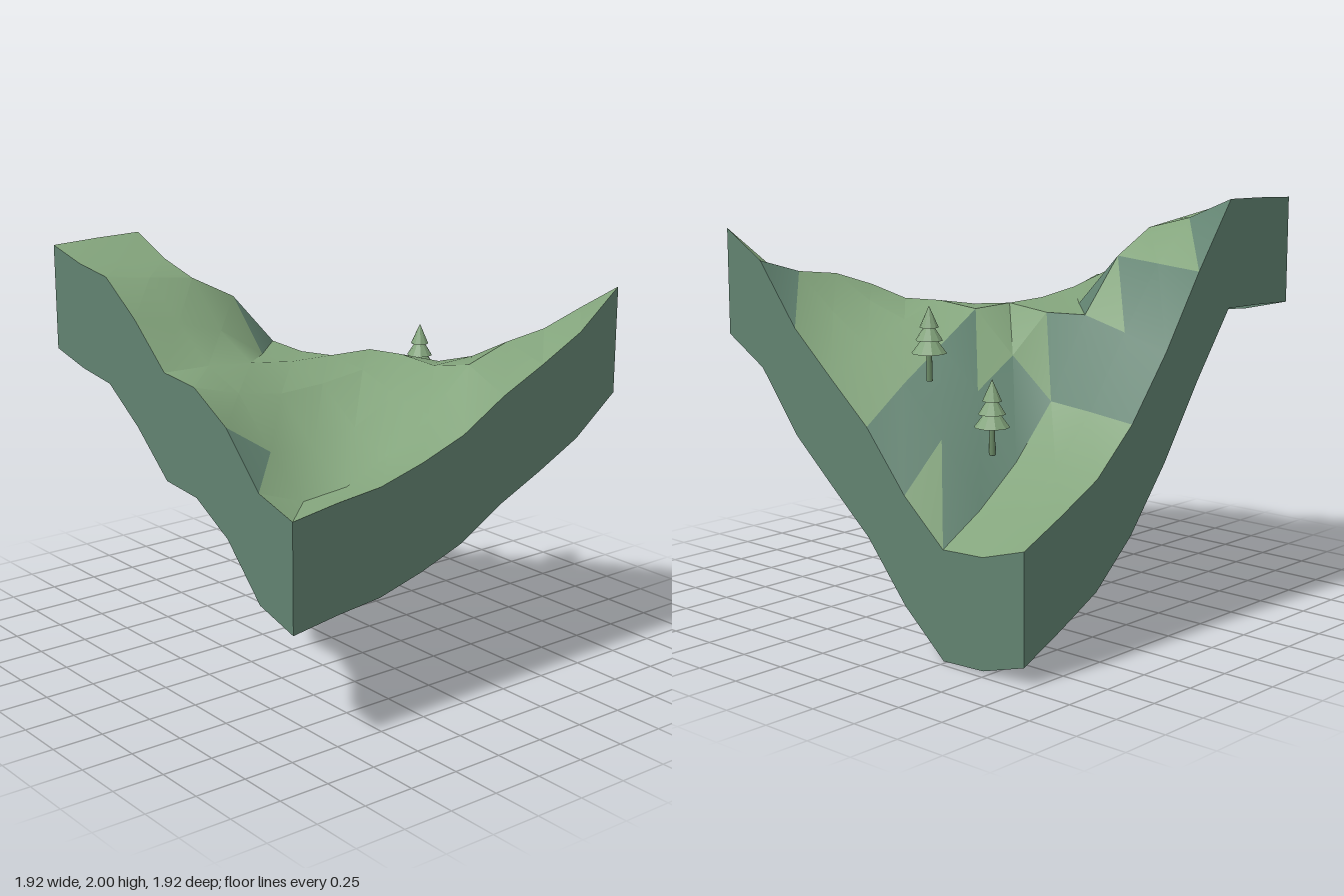
import * as THREE from 'three';
import { toCreasedNormals } from 'three/addons/utils/BufferGeometryUtils.js';

const STEP = 0.24, N = 8, HALF = 0.96, DEPTH = 0.513;

// Ground heights: one row per z (back to front), one value per x (-x to +x)
const HEIGHTS = [
  [1.985, 1.995, 2.0, 1.68, 1.33, 1.035, 0.825, 0.705, 0.595],
  [1.93, 1.91, 1.90, 1.70, 1.40, 1.06, 0.83, 0.66, 0.525],
  [1.90, 1.87, 1.84, 1.72, 1.46, 1.08, 0.83, 0.65, 0.515],
  [1.74, 1.69, 1.62, 1.47, 1.45, 1.27, 1.13, 0.94, 0.72],
  [1.535, 1.53, 1.51, 1.48, 1.475, 1.47, 1.32, 1.17, 1.0],
  [1.515, 1.45, 1.41, 1.42, 1.45, 1.49, 1.42, 1.32, 1.20],
  [1.385, 1.23, 1.20, 1.26, 1.38, 1.48, 1.49, 1.46, 1.405],
  [1.145, 1.06, 1.08, 1.18, 1.33, 1.53, 1.605, 1.635, 1.705],
  [1.08, 1.115, 1.14, 1.205, 1.29, 1.43, 1.54, 1.66, 1.845],
];

// Rock cover per cell: C whole cell, u back-left half, l front-right half
const ROCK = [
  '..uCC...',
  '...uC...',
  '...uuCCu',
  '.....lCC',
  '........',
  '........',
  'u......l',
  '........',
];

const point = (i, j, drop = 0) => [i * STEP - HALF, HEIGHTS[j][i] - drop, j * STEP - HALF];

function fromTriangles(points) {
  const geometry = new THREE.BufferGeometry();
  geometry.setAttribute('position', new THREE.Float32BufferAttribute(points.flat(), 3));
  geometry.computeVertexNormals();
  return geometry;
}

// Hillside surface, grass triangles first and rock triangles second
function groundGeometry() {
  const grass = [], rock = [];
  for (let j = 0; j < N; j++) {
    for (let i = 0; i < N; i++) {
      const cover = ROCK[j][i];
      const a = point(i, j), b = point(i, j + 1), c = point(i + 1, j), d = point(i + 1, j + 1);
      ('Cu'.includes(cover) ? rock : grass).push(a, b, c);
      ('Cl'.includes(cover) ? rock : grass).push(c, b, d);
    }
  }
  const geometry = toCreasedNormals(fromTriangles([...grass, ...rock]), 0.45);
  geometry.clearGroups();
  geometry.addGroup(0, grass.length, 0);
  geometry.addGroup(grass.length, rock.length, 1);
  return geometry;
}

// Wall strip hanging from one edge; edge(k) gives the grid indices along it
function wallGeometry(edge) {
  const points = [];
  for (let k = 0; k < N; k++) {
    const a = point(...edge(k)), b = point(...edge(k + 1));
    const c = point(...edge(k), DEPTH), d = point(...edge(k + 1), DEPTH);
    points.push(a, c, b, b, c, d);
  }
  return fromTriangles(points);
}

// Conifer with its trunk foot at the group's origin
function makeTree(leaf, bark) {
  const tree = new THREE.Group();
  tree.name = 'tree';
  const trunk = new THREE.Mesh(new THREE.CylinderGeometry(0.012, 0.015, 0.16, 8), bark);
  trunk.name = 'trunk';
  trunk.position.y = 0.08;
  tree.add(trunk);
  // radius, base, top of each tier
  for (const [r, base, top] of [[0.083, 0.13, 0.24], [0.064, 0.19, 0.29], [0.045, 0.25, 0.35]]) {
    const tier = new THREE.Mesh(toCreasedNormals(new THREE.ConeGeometry(r, top - base, 10), 0.3), leaf);
    tier.name = 'foliageTier';
    tier.position.y = (base + top) / 2;
    tree.add(tier);
  }
  return tree;
}

export function createModel() {
  const material = (name, color, side = THREE.FrontSide) => {
    const m = new THREE.MeshStandardMaterial({ color, side });
    m.name = name;
    return m;
  };
  const grass = material('grassGreen', 0x83a47c, THREE.DoubleSide);
  const rock = material('rockGreen', 0x618270, THREE.DoubleSide);
  const bark = material('trunkGreen', 0x6b8a66);

  const model = new THREE.Group();
  model.name = 'hillside';

  const ground = new THREE.Mesh(groundGeometry(), [grass, rock]);
  ground.name = 'ground';
  model.add(ground);

  // Four walls, open underneath
  const edges = {
    frontWall: k => [k, N],
    backWall: k => [N - k, 0],
    rightWall: k => [0, k],
    leftWall: k => [N, N - k],
  };
  for (const [name, edge] of Object.entries(edges)) {
    const wall = new THREE.Mesh(wallGeometry(edge), rock);
    wall.name = name;
    model.add(wall);
  }

  // Two trees on the slope
  for (const [x, y, z] of [[0.635, 1.18, -0.08], [0.555, 0.865, -0.4]]) {
    const tree = makeTree(grass, bark);
    tree.position.set(x, y, z);
    model.add(tree);
  }
  return model;
}
